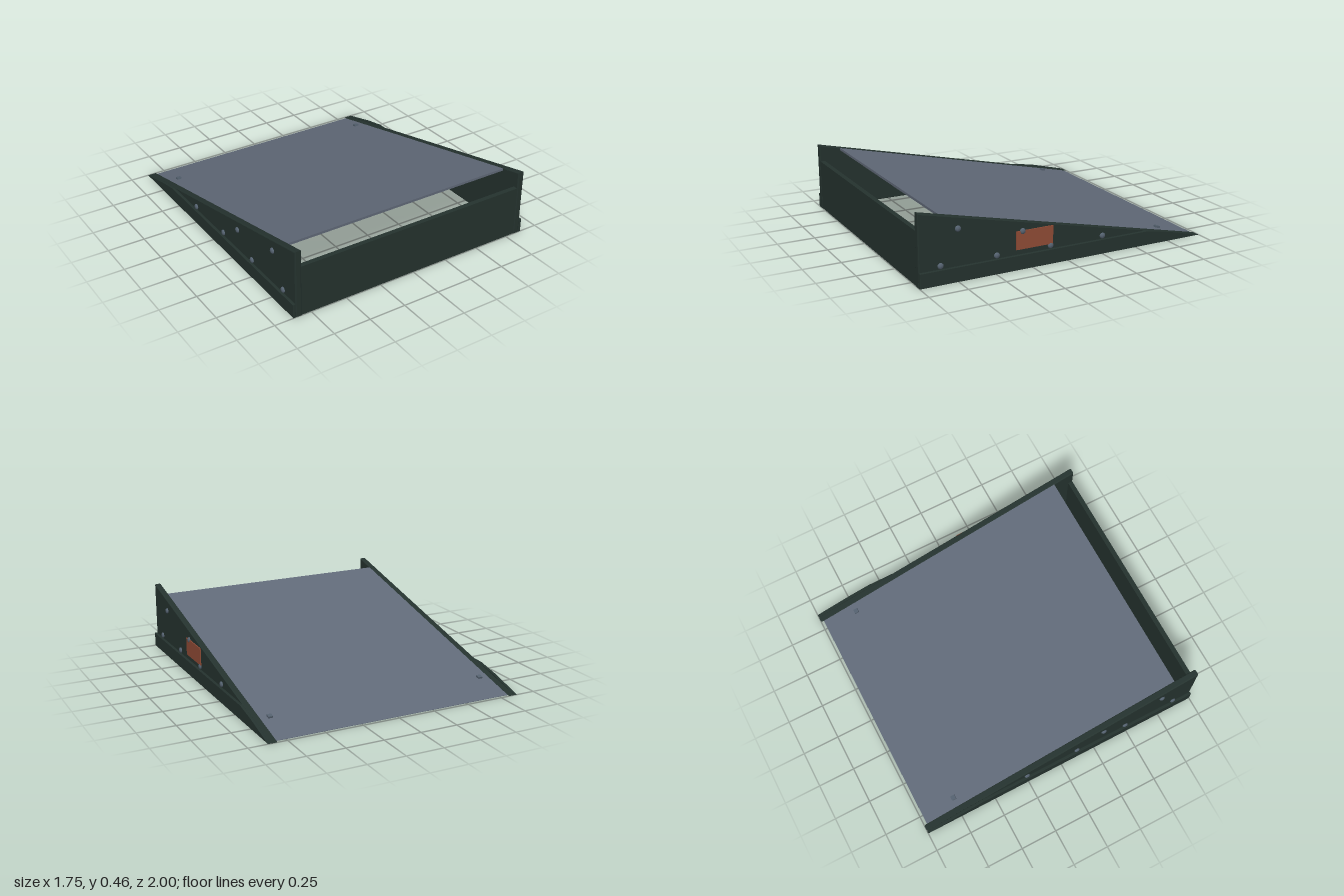
import * as THREE from 'three';

const mat = (name, color) => {
  const m = new THREE.MeshStandardMaterial({ color });
  m.name = name;
  return m;
};

export function createModel() {
  const group = new THREE.Group();
  const frameGreen = mat('dark green frame', 0x25332f);
  const deckGrey = mat('slate deck', 0x626b7a);
  const boltGrey = mat('bolt steel', 0x556270);
  const rust = mat('rust plate', 0x914c36);

  const add = (name, geometry, material, x = 0, y = 0, z = 0) => {
    const mesh = new THREE.Mesh(geometry, material);
    mesh.name = name;
    mesh.position.set(x, y, z);
    group.add(mesh);
    return mesh;
  };

  // Prism from a (z, y) outline, spanning x0 to x1
  const prism = (points, x0, x1, bevel = 0) => {
    const shape = new THREE.Shape(points.map(([z, y]) => new THREE.Vector2(z, y)));
    const geometry = new THREE.ExtrudeGeometry(shape, {
      depth: x1 - x0 - 2 * bevel, bevelEnabled: bevel > 0,
      bevelThickness: bevel, bevelSize: bevel, bevelOffset: -bevel, bevelSegments: 2,
    });
    return geometry.rotateY(-Math.PI / 2).translate(x1 - bevel, 0, 0);
  };

  const slope = 0.457 / 2;
  const topAt = (z) => (z + 1) * slope;

  // Sloping deck with a thin feathered lower edge
  add('deck', prism([
    [-0.98, 0], [-0.91, 0], [0.85, topAt(0.85) - 0.019],
    [0.85, topAt(0.85) - 0.003], [-0.98, topAt(-0.98) - 0.002],
  ], -0.815, 0.815), deckGrey);

  // Front board
  add('frontBoard', new THREE.BoxGeometry(1.64, 0.342, 0.032), frameGreen, 0, 0.171, 0.981);

  // Bolt head with a chamfered rim, facing +x
  const boltGeometry = new THREE.LatheGeometry(
    [[0.019, 0], [0.019, 0.008], [0.012, 0.014], [0, 0.015]].map(([r, h]) => new THREE.Vector2(r, h)), 12
  ).rotateZ(-Math.PI / 2);
  const bolts = [[0.86, 0.115], [0.49, 0.115], [0.12, 0.115], [-0.255, 0.115], [0.745, 0.327], [0.315, 0.24]];

  for (const s of [1, -1]) {
    const side = s > 0 ? 'left' : 'right';
    const span = (a, b) => (s > 0 ? [a, b] : [-b, -a]);

    // Wedge side panel and the low rail along its foot
    add(side + 'SidePanel', prism([[-1, 0], [1, 0], [1, 0.457]], ...span(0.813, 0.856), 0.007), frameGreen);
    add(side + 'BaseRail', prism(
      [[-1, 0], [1, 0], [1, 0.095], [-0.59, 0.095], [-0.75, 0.065]], ...span(0.855, 0.874), 0.003), frameGreen);

    for (const [z, y] of bolts) {
      const bolt = add(side + 'SideBolt', boltGeometry, boltGrey, s * 0.854, y, z);
      if (s < 0) bolt.rotation.y = Math.PI;
    }

    // Square deck bolt, tilted with the deck
    const stud = add(side + 'DeckBolt', new THREE.BoxGeometry(0.03, 0.016, 0.03), boltGrey,
      s * 0.75, topAt(-0.75) + 0.002, -0.75);
    stud.rotation.x = -Math.atan(slope);
  }

  // Plate on the left side
  add('sidePlate', new THREE.BoxGeometry(0.008, 0.118, 0.254), rust, 0.859, 0.185, 0.232);

  return group;
}
